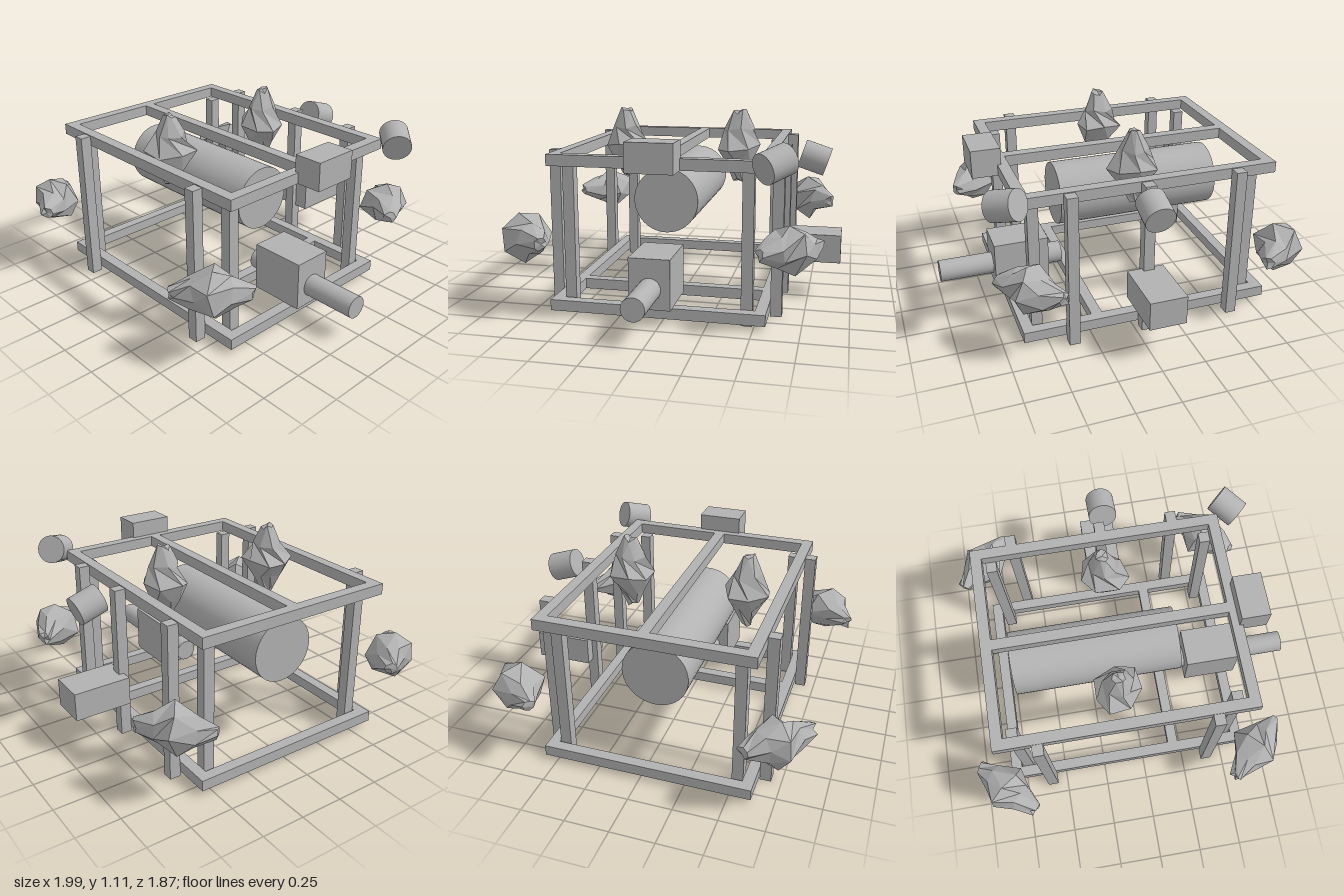
import * as THREE from 'three';

export function createModel() {
  const model = new THREE.Group();
  model.name = 'underwaterVehicle';
  const grey = new THREE.MeshStandardMaterial({ color: 0xb2b2b2 });
  grey.name = 'plain grey';
  const facetGrey = grey.clone();
  facetGrey.name = 'plain grey faceted';
  facetGrey.flatShading = true;

  const add = (name, geometry, material = grey) => {
    const mesh = new THREE.Mesh(geometry, material);
    mesh.name = name;
    model.add(mesh);
    return mesh;
  };
  // Box given by its lower and upper limits
  const box = (name, x0, x1, y0, y1, z0, z1) =>
    add(name, new THREE.BoxGeometry(x1 - x0, y1 - y0, z1 - z0))
      .position.set((x0 + x1) / 2, (y0 + y1) / 2, (z0 + z1) / 2);
  // Cylinder whose axis follows a direction
  const up = new THREE.Vector3(0, 1, 0);
  const rod = (name, radius, length, centre, axis) => {
    const mesh = add(name, new THREE.CylinderGeometry(radius, radius, length, 40));
    mesh.position.set(...centre);
    mesh.quaternion.setFromUnitVectors(up, new THREE.Vector3(...axis).normalize());
  };

  // Upper and lower rectangular frames
  for (const [level, y0, y1] of [['upper', 0.845, 0.908], ['lower', 0.03, 0.092]]) {
    box(level + 'BackBeam', -0.833, 0.64, y0, y1, -0.567, -0.505);
    box(level + 'FrontBeam', -0.833, 0.64, y0, y1, 0.567, 0.63);
    box(level + 'RightBeam', -0.833, -0.77, y0, y1, -0.505, 0.567);
    box(level + 'LeftBeam', 0.577, 0.64, y0, y1, -0.505, 0.567);
  }
  box('upperCentreBeam', -0.77, 0.577, 0.845, 0.908, 0, 0.062);
  box('lowerCrossBeam', 0.17, 0.232, 0.03, 0.092, -0.505, 0.567);

  // Posts outside the beams, then posts inside the corners: [x, z] of the low corner
  for (const [x, z] of [[-0.622, 0.63], [0.368, 0.63], [-0.622, -0.63], [-0.092, -0.63], [0.336, -0.63]])
    box('outerPost', x, x + 0.062, 0, 0.903, z, z + 0.063);
  for (const [x, z] of [[-0.755, 0.504], [0.5, 0.504], [-0.755, -0.505], [0.515, -0.49]])
    box('innerPost', x, x + 0.062, 0, 0.846, z, z + 0.063);

  // Main pressure hull and the equipment boxes
  rod('pressureHull', 0.187, 0.98, [-0.203, 0.608, 0.053], [1, 0, 0]);
  box('lowerHousing', 0.358, 0.684, 0.092, 0.375, -0.065, 0.165);
  rod('lowerShaft', 0.064, 0.74, [0.63, 0.204, 0.05], [1, 0, 0]);
  box('upperBox', 0.619, 0.784, 0.845, 1.005, -0.108, 0.15);
  box('backBox', -0.156, 0.055, 0.23, 0.395, -0.935, -0.6);

  // Tilted lamps at the back
  rod('backLamp', 0.083, 0.155, [-0.028, 0.836, -0.765], [0, 0.33, 1]);
  rod('cornerLamp', 0.083, 0.16, [0.708, 0.908, -0.607], [-0.7, 0.28, -0.7]);

  // Rough faceted spindle used for every thruster
  const sides = 7;
  const spindle = (seed) => {
    let s = seed;
    const rand = () => (s = (s * 16807) % 2147483647) / 2147483647 - 0.5;
    const profile = [[0, -0.21], [0.036, -0.205], [0.084, -0.1], [0.142, 0], [0.084, 0.1], [0.036, 0.205], [0, 0.21]];
    const g = new THREE.LatheGeometry(profile.map(([r, y]) => new THREE.Vector2(r, y)), sides);
    const p = g.attributes.position, n = profile.length;
    const offsets = Array.from({ length: sides * n }, () => [rand(), rand(), rand()]);
    for (let i = 0; i < p.count; i++) {
      const ring = i % n, side = Math.floor(i / n) % sides;
      const [dr, dy, da] = ring === 0 || ring === n - 1 ? [0, 0, 0] : offsets[side * n + ring];
      const r = profile[ring][0] * (1 + dr * 0.22);
      const a = (side + (ring % 2) / 2 + da * 0.35) / sides * Math.PI * 2;
      p.setXYZ(i, Math.sin(a) * r, profile[ring][1] + dy * 0.035, Math.cos(a) * r);
    }
    g.computeVertexNormals();
    return g;
  };
  const thrusters = [
    ['frontVerticalThruster', [-0.11, 0.885, 0.395], [0, 1, 0]],
    ['backVerticalThruster', [-0.085, 0.885, -0.312], [0, 1, 0]],
    ['frontRightThruster', [-0.83, 0.45, 0.75], [1, 0, 1]],
    ['frontLeftThruster', [0.64, 0.45, 0.76], [1, 0, -1]],
    ['backRightThruster', [-0.812, 0.45, -0.705], [1, 0, -1]],
    ['backLeftThruster', [0.62, 0.45, -0.685], [1, 0, 1]],
  ];
  thrusters.forEach(([name, centre, axis], i) => {
    const mesh = add(name, spindle(1234567 + i * 7654321), facetGrey);
    mesh.position.set(...centre);
    mesh.quaternion.setFromUnitVectors(up, new THREE.Vector3(...axis).normalize());
  });

  return model;
}
